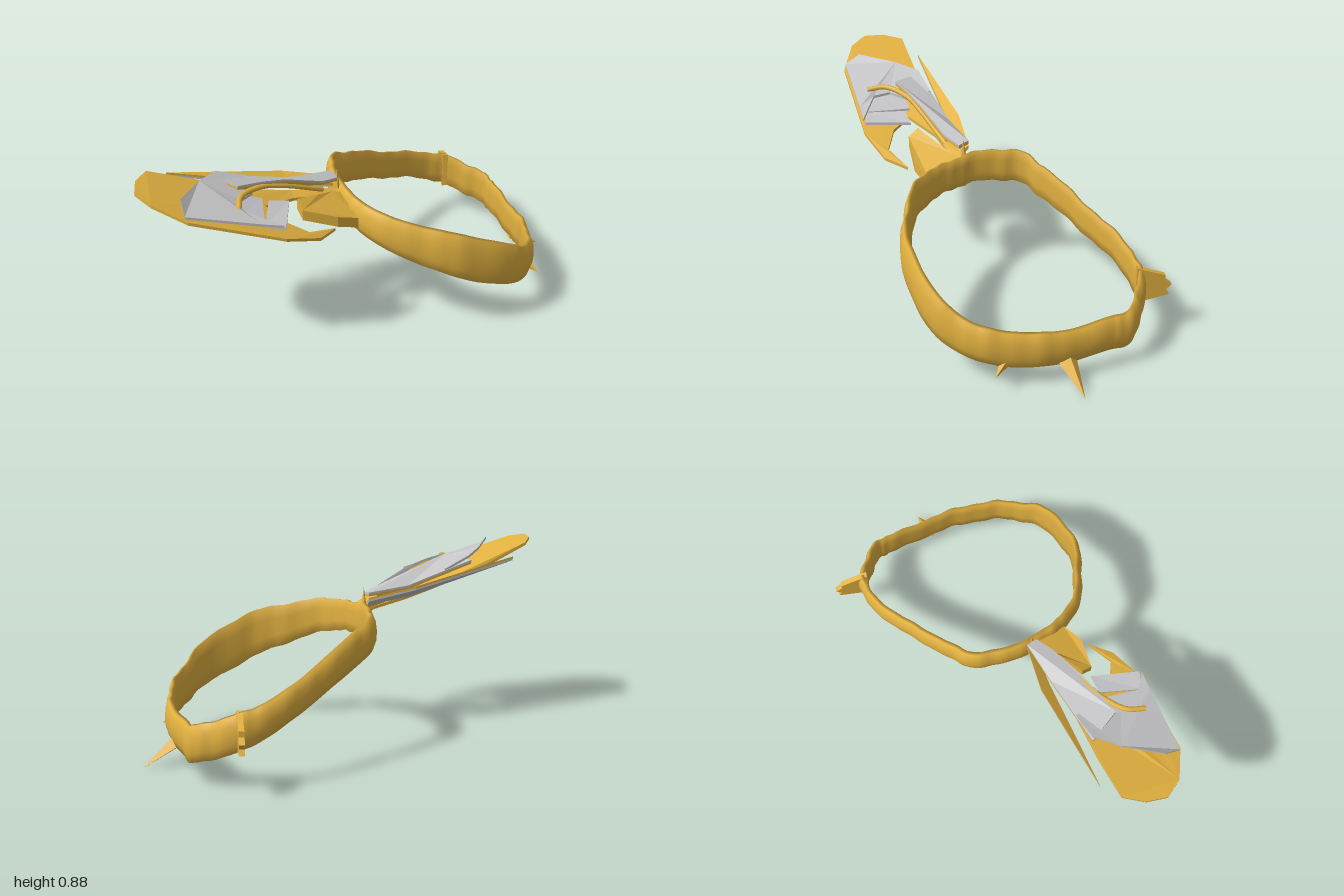
import * as THREE from 'three';

const gold = new THREE.MeshStandardMaterial({ color: 0xe2b140 });
gold.name = 'gold';
const silver = new THREE.MeshStandardMaterial({ color: 0xc6c6c8 });
silver.name = 'silver';

const V = (p) => new THREE.Vector3(...p);

function add(group, name, geometry, material) {
  const mesh = new THREE.Mesh(geometry, material);
  mesh.name = name;
  group.add(mesh);
  return mesh;
}

// Warped plate: outline corners are [x, y, z], y being the underside height
function plate(corners, thickness) {
  const shape = new THREE.Shape(corners.map(([x, , z]) => new THREE.Vector2(x, -z)));
  const geo = new THREE.ExtrudeGeometry(shape, { depth: thickness, bevelEnabled: false });
  geo.rotateX(-Math.PI / 2);
  const pos = geo.attributes.position;
  for (let i = 0; i < pos.count; i++) {
    const dist = (c) => Math.hypot(c[0] - pos.getX(i), c[2] - pos.getZ(i));
    const near = corners.reduce((a, b) => (dist(b) < dist(a) ? b : a));
    pos.setY(i, pos.getY(i) + near[1]);
  }
  geo.computeVertexNormals();
  return geo;
}

// Plate with one colour above and another beneath
function linedPlate(group, name, corners, top, bottom) {
  add(group, name, plate(corners, 0.009), top);
  add(group, name + 'Lining', plate(corners.map(([x, y, z]) => [x, y - 0.009, z]), 0.009), bottom);
}

// Four-sided thorn from base to tip, flattened across one axis
function thorn(group, name, base, tip, width, depth) {
  const a = V(base), b = V(tip), dir = b.clone().sub(a);
  const geo = new THREE.ConeGeometry(1, dir.length(), 4).toNonIndexed();
  geo.scale(width, 1, depth);
  geo.computeVertexNormals();
  const mesh = add(group, name, geo, gold);
  mesh.position.copy(a).add(b).multiplyScalar(0.5);
  mesh.quaternion.setFromUnitVectors(new THREE.Vector3(0, 1, 0), dir.normalize());
}

// Sloping closed band: path points are [x, height of band, z]
function bandGeometry() {
  const path = new THREE.CatmullRomCurve3([
    [-0.07, 0.15, 0.1], [-0.06, 0.155, -0.04], [-0.02, 0.16, -0.15], [0.08, 0.16, -0.22],
    [0.25, 0.15, -0.31], [0.4, 0.145, -0.385], [0.57, 0.155, -0.435], [0.68, 0.17, -0.42],
    [0.78, 0.17, -0.35], [0.84, 0.17, -0.28], [0.84, 0.165, -0.2], [0.85, 0.16, 0], [0.835, 0.17, 0.15],
    [0.79, 0.175, 0.3], [0.72, 0.18, 0.41], [0.6, 0.215, 0.5], [0.37, 0.23, 0.535],
    [0.22, 0.205, 0.49], [0.07, 0.175, 0.41], [-0.02, 0.155, 0.3], [-0.05, 0.145, 0.2],
  ].map(V), true);
  // Section: [outward offset, fraction of height], bulging outside, flat inside
  const section = [[-0.012, 0], [0.008, 0.02], [0.02, 0.25], [0.023, 0.5], [0.018, 0.75],
    [0.004, 0.98], [-0.012, 1], [-0.016, 0.7], [-0.016, 0.3]];
  const N = 120, M = section.length, verts = [], index = [];
  for (let i = 0; i < N; i++) {
    const p = path.getPoint(i / N), t = path.getTangent(i / N);
    const len = Math.hypot(t.x, t.z), nx = t.z / len, nz = -t.x / len;
    const a = (i / N) * Math.PI * 2;
    const wobble = 0.003 * Math.sin(a * 13) + 0.002 * Math.sin(a * 29);
    for (const [o, v] of section) {
      verts.push(p.x + nx * (o + wobble), 0.465 - 0.44 * p.x + p.y * v + wobble, p.z + nz * (o + wobble));
    }
    for (let j = 0; j < M; j++) {
      const k = (i + 1) % N, l = (j + 1) % M;
      const q = i * M + j, b = k * M + j, c = k * M + l, d = i * M + l;
      index.push(q, d, b, b, d, c);
    }
  }
  const geo = new THREE.BufferGeometry();
  geo.setAttribute('position', new THREE.Float32BufferAttribute(verts, 3));
  geo.setIndex(index);
  geo.computeVertexNormals();
  return geo;
}

export function createModel() {
  const model = new THREE.Group();
  model.name = 'ornamentalBand';

  add(model, 'band', bandGeometry(), gold);

  // Thorns round the band
  thorn(model, 'endThorn', [0.85, 0.1, 0], [1, 0, -0.015], 0.03, 0.045);
  thorn(model, 'frontThorn', [0.8, 0.12, 0.27], [0.84, 0.09, 0.325], 0.02, 0.025);
  thorn(model, 'upperThorn', [-0.085, 0.62, 0.11], [-0.085, 0.715, 0.11], 0.014, 0.014);

  // Ragged flap standing out from the back: [distance out, height]
  const flapShape = new THREE.Shape([
    [0, 0.17], [0.05, 0.18], [0.15, 0.2], [0.135, 0.225], [0.16, 0.25], [0.13, 0.275], [0.13, 0.3], [0, 0.35],
  ].map(([x, y]) => new THREE.Vector2(x, y)));
  const flap = add(model, 'backFlap', new THREE.ExtrudeGeometry(flapShape, { depth: 0.025, bevelEnabled: false }), gold);
  flap.position.set(0.645, 0, -0.41);
  flap.rotation.y = Math.PI / 2 - 0.2;

  // Curved tongue joining the band to the ornament
  add(model, 'tongue', plate([
    [-0.31, 0.64, 0.25], [-0.3, 0.61, 0.3], [-0.15, 0.56, 0.325], [-0.04, 0.51, 0.29],
    [-0.05, 0.55, 0.13], [-0.12, 0.58, 0.15], [-0.2, 0.61, 0.2],
  ], 0.05), gold);

  // Crescent-shaped gold backing
  add(model, 'crescentBacking', plate([
    [-1, 0.87, 0.29], [-0.98, 0.87, 0.2], [-0.92, 0.86, 0.12], [-0.72, 0.77, 0.12],
    [-0.45, 0.68, 0.13], [-0.3, 0.64, 0.12], [-0.09, 0.6, 0.1], [-0.09, 0.585, 0.14], [-0.3, 0.63, 0.17],
    [-0.45, 0.67, 0.25], [-0.4, 0.64, 0.34], [-0.3, 0.6, 0.4], [-0.17, 0.56, 0.35],
    [-0.26, 0.58, 0.43], [-0.42, 0.64, 0.475], [-0.82, 0.79, 0.45], [-0.95, 0.85, 0.37],
  ], 0.014), gold);

  // Long sliver along the back edge, gold above and silver beneath
  linedPlate(model, 'backSliver', [
    [-0.83, 0.81, 0.07], [-0.32, 0.705, 0.045], [-0.1, 0.66, 0.08], [-0.1, 0.635, 0.11], [-0.3, 0.665, 0.095],
  ], gold, silver);

  // Silver shards
  add(model, 'mainShard', plate([
    [-0.83, 0.855, 0.37], [-0.72, 0.835, 0.22], [-0.63, 0.815, 0.135], [-0.5, 0.76, 0.12],
    [-0.5, 0.745, 0.24], [-0.57, 0.755, 0.3], [-0.57, 0.75, 0.38], [-0.43, 0.71, 0.475],
    [-0.52, 0.73, 0.465], [-0.83, 0.815, 0.44],
  ], 0.012), silver);
  add(model, 'crossShard', plate([
    [-0.44, 0.71, 0.27], [-0.35, 0.69, 0.27], [-0.42, 0.695, 0.47], [-0.5, 0.705, 0.44],
  ], 0.012), silver);
  add(model, 'lowerShard', plate([
    [-0.64, 0.775, 0.24], [-0.46, 0.71, 0.24], [-0.5, 0.71, 0.44], [-0.64, 0.755, 0.44],
  ], 0.01), silver);

  // Raised arm tilting backwards, silver above and gold beneath
  linedPlate(model, 'raisedArm', [
    [-0.64, 0.795, 0.13], [-0.3, 0.7, 0.1], [-0.1, 0.685, 0.08], [-0.09, 0.675, 0.13],
    [-0.17, 0.695, 0.17], [-0.35, 0.77, 0.22], [-0.46, 0.795, 0.245], [-0.57, 0.81, 0.27],
  ], silver, gold);

  // Slim gold curl along the front of the raised arm
  const curl = new THREE.CatmullRomCurve3([
    [-0.6, 0.785, 0.4], [-0.57, 0.797, 0.32], [-0.46, 0.78, 0.245], [-0.35, 0.745, 0.215], [-0.17, 0.66, 0.165],
  ].map(V));
  add(model, 'curl', new THREE.TubeGeometry(curl, 24, 0.012, 8), gold);

  return model;
}
